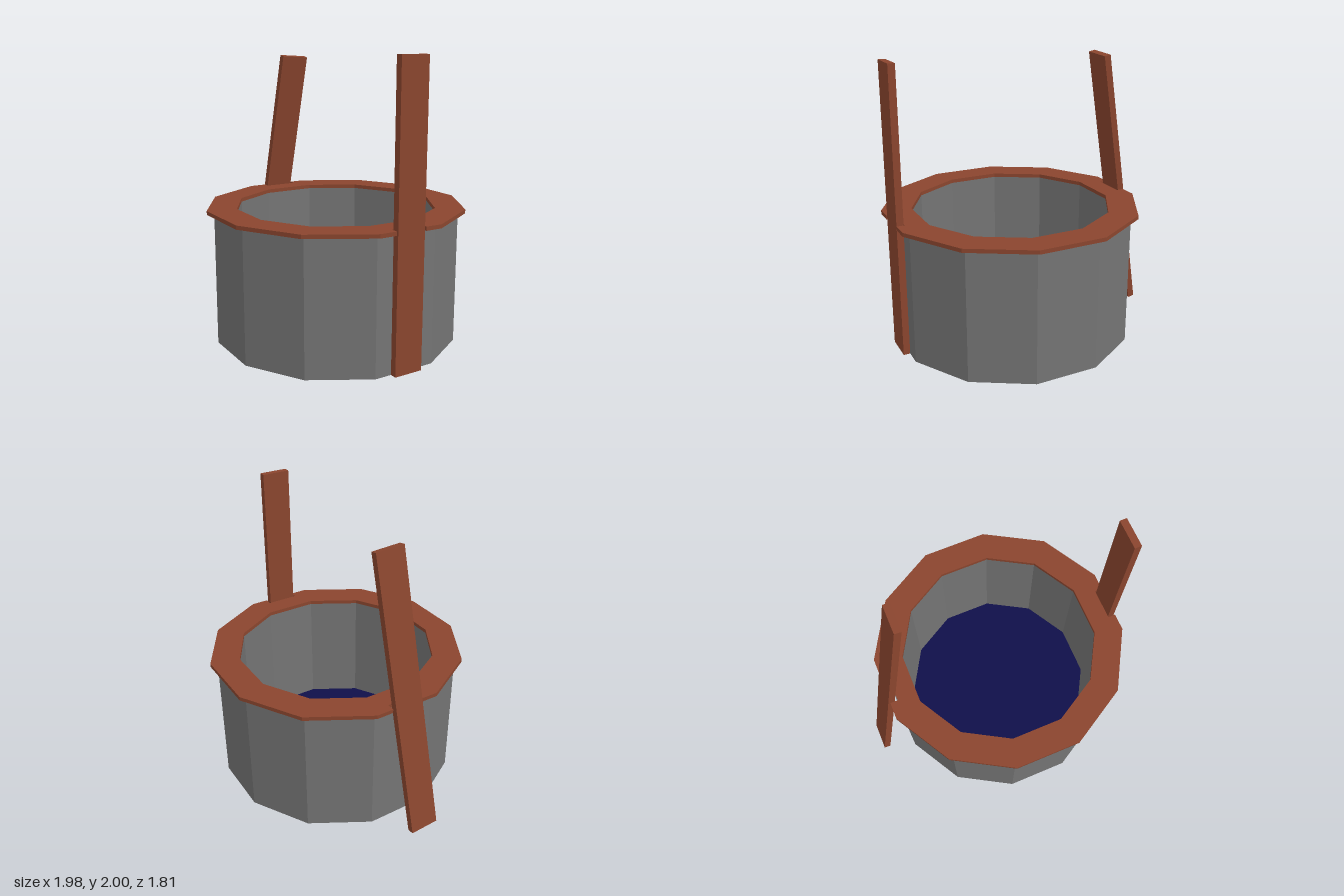
import * as THREE from 'three';

const SIDES = 12;
const CENTER_X = 0.08;
const deg = THREE.MathUtils.degToRad;

const material = (color) => new THREE.MeshStandardMaterial({ color, flatShading: true });

function addMesh(parent, name, geometry, mat) {
  const mesh = new THREE.Mesh(geometry, mat);
  mesh.name = name;
  parent.add(mesh);
  return mesh;
}

// Corners of a regular polygon with one corner on the x axis
function ring(radius) {
  return Array.from({ length: SIDES }, (_, i) => {
    const a = (i / SIDES) * Math.PI * 2;
    return new THREE.Vector2(radius * Math.cos(a), radius * Math.sin(a));
  });
}

// Flat rim outline with a slot for each post in two opposite sides
function rimShape(outer, inner, slotDepth, slotHalf) {
  const corners = ring(outer);
  const apothem = outer * Math.cos(Math.PI / SIDES);
  const points = [];
  corners.forEach((corner, i) => {
    points.push(corner);
    if (i % (SIDES / 2) !== 0) return;
    const a = ((i + 0.5) / SIDES) * Math.PI * 2;
    const slot = [[apothem, -slotHalf], [slotDepth, -slotHalf], [slotDepth, slotHalf], [apothem, slotHalf]];
    for (const [r, t] of slot) {
      points.push(new THREE.Vector2(r, t).rotateAround(new THREE.Vector2(), a));
    }
  });
  const shape = new THREE.Shape(points);
  shape.holes.push(new THREE.Path(ring(inner).reverse()));
  return shape;
}

export function createModel() {
  const model = new THREE.Group();
  model.name = 'well';
  const wood = material(0x8a452e);
  const stone = material(0x747474);
  const waterBlue = material(0x10104a);

  const basin = new THREE.Group();
  basin.name = 'basin';
  basin.position.x = CENTER_X;
  model.add(basin);

  // Hollow wall with a closed bottom
  const profile = [[0, 0.01], [0.855, 0.01], [0.855, 0.93], [0.7, 0.93], [0.7, 0.06], [0, 0.06]];
  addMesh(basin, 'wall',
    new THREE.LatheGeometry(profile.map(([r, y]) => new THREE.Vector2(r, y)), SIDES), stone);

  // Water surface low inside the wall
  const water = addMesh(basin, 'water', new THREE.CircleGeometry(0.7, SIDES), waterBlue);
  water.rotation.x = -Math.PI / 2;
  water.position.y = 0.1;

  // Wooden rim
  const rimGeometry = new THREE.ExtrudeGeometry(rimShape(0.905, 0.7, 0.82, 0.113),
    { depth: 0.027, bevelEnabled: false });
  rimGeometry.rotateX(Math.PI / 2);
  addMesh(basin, 'rim', rimGeometry, wood).position.y = 0.957;

  // Two posts, the right one leaning inwards
  const postGeometry = new THREE.BoxGeometry(0.048, 1.99, 0.205);
  const posts = [
    ['leftPost', [0.899, 1.005, 0.219], 0],
    ['rightPost', [-0.748, 0.99, -0.219], deg(-11.2)],
  ];
  for (const [name, position, lean] of posts) {
    const post = addMesh(model, name, postGeometry, wood);
    post.position.set(...position);
    post.rotation.set(0, deg(-15), lean, 'ZYX');
  }

  return model;
}
